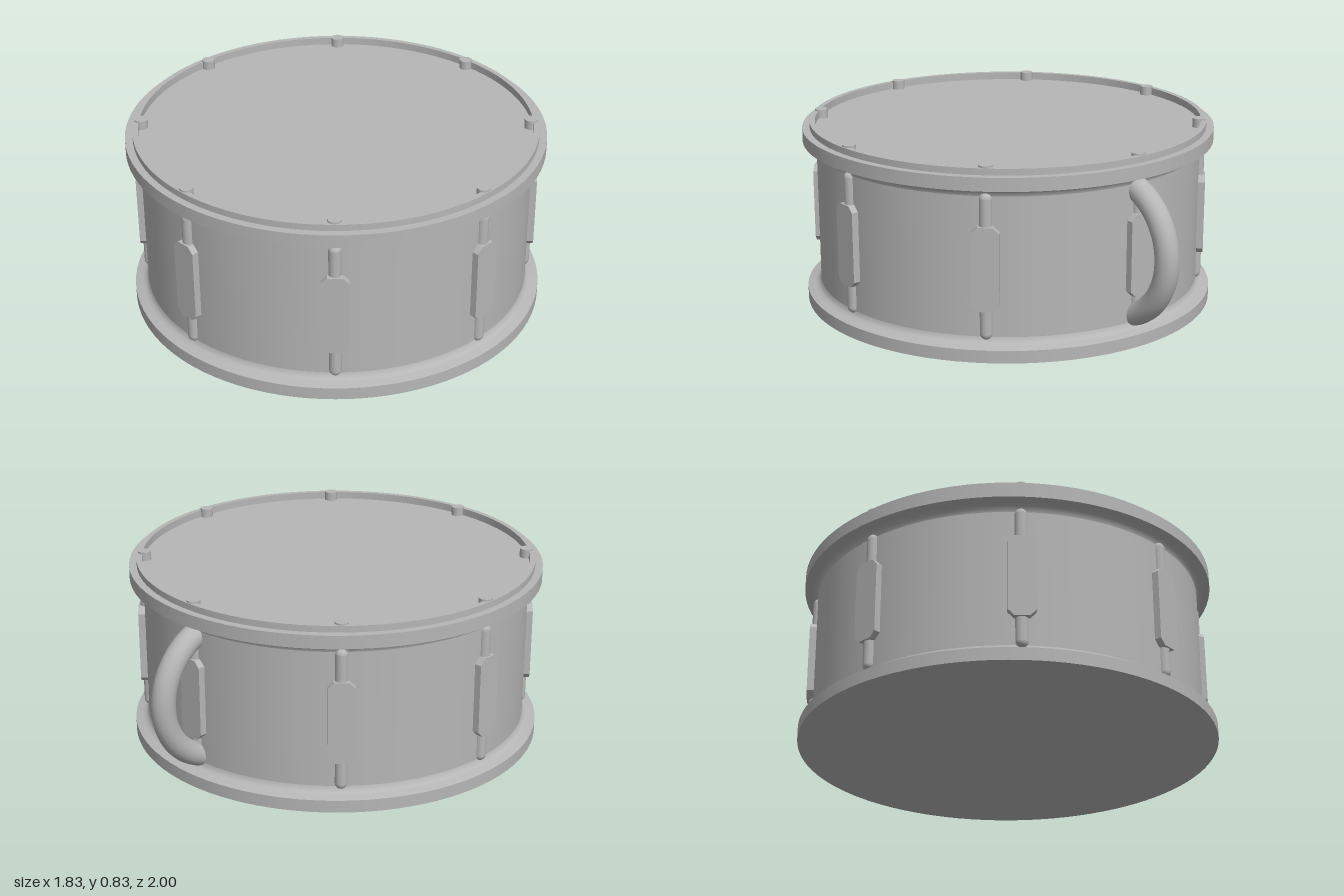
import * as THREE from 'three';

const grey = new THREE.MeshStandardMaterial({ color: 0xb6b6b6 });
grey.name = 'grey';

const CENTRE_Z = 0.085;
const LUGS = 8;

function add(parent, name, geometry, x = 0, y = 0, z = 0) {
  const mesh = new THREE.Mesh(geometry, grey);
  mesh.name = name;
  mesh.position.set(x, y, z);
  parent.add(mesh);
  return mesh;
}

// Each straight run is its own lathe, so the hoop edges stay crisp
function turned(parent, name, points) {
  const part = new THREE.Group();
  part.name = name;
  for (let i = 0; i < points.length - 1; i++) {
    const run = [points[i], points[i + 1]].map(([r, y]) => new THREE.Vector2(r, y));
    add(part, name + 'Face', new THREE.LatheGeometry(run, 96));
  }
  parent.add(part);
}

// Upright plate with cut corners, centred on its middle, facing +z
function lugPlate(w, h, cut, depth) {
  const a = w / 2, b = h / 2;
  const shape = new THREE.Shape([
    [-a + cut, -b], [a - cut, -b], [a, -b + cut], [a, b - cut],
    [a - cut, b], [-a + cut, b], [-a, b - cut], [-a, -b + cut],
  ].map(([x, y]) => new THREE.Vector2(x, y)));
  return new THREE.ExtrudeGeometry(shape, { depth, bevelEnabled: false });
}

export function createModel() {
  const model = new THREE.Group();
  model.name = 'drum';
  const drum = new THREE.Group();
  drum.name = 'drumBody';
  drum.position.z = CENTRE_Z;
  model.add(drum);

  // Hoops, rim and recessed head
  turned(drum, 'bottomHoop', [[0, 0], [0.915, 0], [0.915, 0.055], [0.88, 0.065]]);
  turned(drum, 'topHoop', [[0.88, 0.722], [0.915, 0.732], [0.915, 0.79], [0.882, 0.79]]);
  turned(drum, 'rim', [[0.882, 0.79], [0.882, 0.818], [0.858, 0.818], [0.858, 0.785]]);
  turned(drum, 'drumHead', [[0.858, 0.785], [0, 0.785]]);

  // Shell with small flares into both hoops
  const flare = [[0.88, 0.065], [0.868, 0.07], [0.859, 0.079], [0.855, 0.092]];
  const profile = [...flare, ...flare.map(([r, y]) => [r, 0.787 - y]).reverse()];
  for (const [from, to] of [[0, 4], [3, 5], [4, 8]]) {
    const pts = profile.slice(from, to).map(([r, y]) => new THREE.Vector2(r, y));
    add(drum, 'shell', new THREE.LatheGeometry(pts, 96));
  }

  // Tension rods, lug plates and pegs around the drum
  const rod = new THREE.CapsuleGeometry(0.027, 0.576, 6, 16);
  const plate = lugPlate(0.116, 0.36, 0.026, 0.055);
  const peg = new THREE.CylinderGeometry(0.029, 0.029, 0.045, 20);
  for (let i = 0; i < LUGS; i++) {
    const lug = new THREE.Group();
    lug.name = 'lug';
    lug.rotation.y = (i / LUGS) * Math.PI * 2;
    add(lug, 'tensionRod', rod, 0, 0.395, 0.85);
    add(lug, 'lugPlate', plate, 0, 0.39, 0.829);
    add(lug, 'peg', peg, 0, 0.803, 0.849);
    drum.add(lug);
  }

  // Curved carrying handle at the back
  const arc = THREE.MathUtils.degToRad(160);
  const handle = new THREE.TorusGeometry(0.296, 0.052, 20, 48, arc);
  handle.rotateZ(-arc / 2);
  handle.rotateY(Math.PI / 2);
  add(model, 'handle', handle, 0, 0.395, -0.652);

  return model;
}
